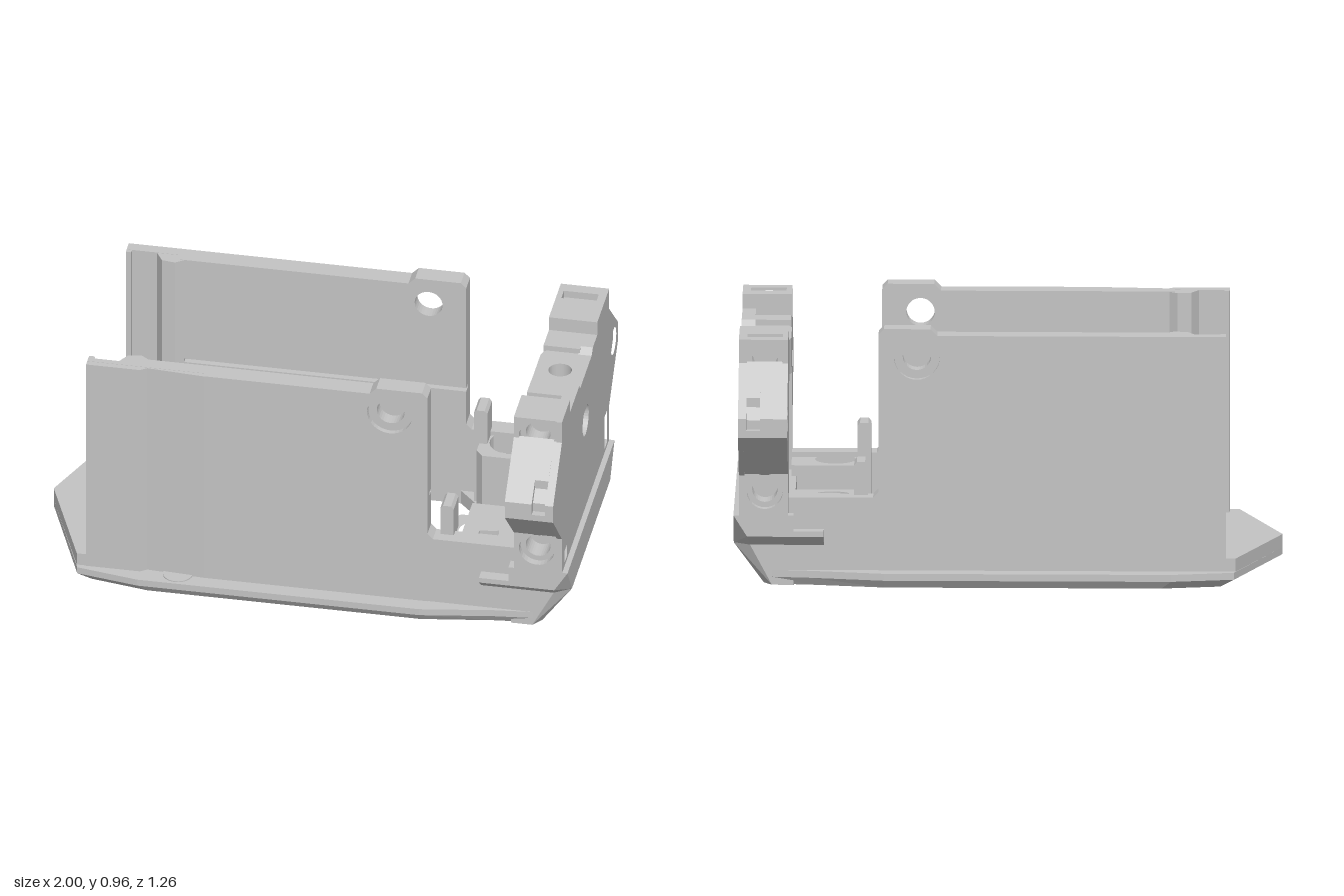
import * as THREE from 'three';
import { ConvexGeometry } from 'three/addons/geometries/ConvexGeometry.js';

const grey = new THREE.MeshStandardMaterial({ color: 0xc4c4c4 });
grey.name = 'light grey plastic';

// Circle as a list of points
const circle = (a, b, r, n = 32) => Array.from({ length: n }, (_, i) => {
  const t = (i / n) * Math.PI * 2;
  return [a + r * Math.cos(t), b + r * Math.sin(t)];
});
const rect = (a0, b0, a1, b1) => [[a0, b0], [a1, b0], [a1, b1], [a0, b1]];

function extrude(outline, holes, depth, sign) {
  const vec = (pts) => pts.map(([a, b]) => new THREE.Vector2(a * sign[0], b * sign[1]));
  const shape = new THREE.Shape(vec(outline));
  holes.forEach((h) => shape.holes.push(new THREE.Path(vec(h))));
  return new THREE.ExtrudeGeometry(shape, { depth, bevelEnabled: false });
}
// Outline in (x, z), raised from y0 to y1
const alongY = (o, y0, y1, holes = []) =>
  extrude(o, holes, y1 - y0, [1, -1]).rotateX(-Math.PI / 2).translate(0, y0, 0);
// Outline in (z, y), swept from x0 to x1
const alongX = (o, x0, x1, holes = []) =>
  extrude(o, holes, x1 - x0, [-1, 1]).rotateY(Math.PI / 2).translate(x0, 0, 0);
// Outline in (x, y), swept between two z values
const alongZ = (o, za, zb, holes = []) =>
  extrude(o, holes, Math.abs(zb - za), [1, 1]).translate(0, 0, Math.min(za, zb));

// Closed outline symmetric about z = 0, from its +z half
const mirrorZ = (half) => [...half, ...half.filter((p) => p[1] !== 0).reverse().map(([x, z]) => [x, -z])];
const bothSides = (pts) => pts.flatMap(([x, y, z]) =>
  [new THREE.Vector3(x, y, z), new THREE.Vector3(x, y, -z)]);

export function createModel() {
  const model = new THREE.Group();
  model.name = 'deviceCradle';
  const add = (name, geometry) => {
    const mesh = new THREE.Mesh(geometry, grey);
    mesh.name = name;
    model.add(mesh);
  };

  // Floor with opening, screw holes and fork slot
  const floorOutline = mirrorZ([[-1, 0], [-0.83, 0.43], [-0.6, 0.47], [0.45, 0.47], [0.72, 0.425], [0.86, 0.41]]);
  const opening = mirrorZ([[-0.42, 0], [-0.28, 0.34], [0.45, 0.34], [0.515, 0.27]]);
  const fork = mirrorZ([[0.58, 0.025], [0.64, 0.03], [0.68, 0.06], [0.78, 0.06]]);
  const floorHoles = [opening, fork, circle(0.64, 0.305, 0.04), circle(0.64, -0.305, 0.04)];
  const plateTop = alongY(floorOutline, 0.03, 0.056, floorHoles);
  const under = alongY(floorOutline, 0, 0.03, floorHoles);
  const up = under.attributes.position;
  for (let i = 0; i < up.count; i++) {
    if (up.getY(i) > 0.015) continue;
    const x = up.getX(i);
    const z = up.getZ(i);
    if (x < -0.55) up.setX(i, x * 0.94);
    if (Math.abs(z) > 0.4) up.setZ(i, z * 0.955);
  }
  under.computeVertexNormals();
  add('floorPlate', plateTop);
  add('floorBevel', under);
  for (const s of [1, -1]) add('forkTine', alongY(rect(0.69, s * 0.018, 0.79, s * 0.034), 0.005, 0.1));

  // Raised V-shaped lip
  add('floorLip', alongY([[-1, 0], [-0.835, 0.412], [-0.78, 0.412], [-0.78, 0.38], [-0.58, 0.36], [-0.71, 0],
    [-0.58, -0.36], [-0.78, -0.38], [-0.78, -0.412], [-0.835, -0.412]], 0.055, 0.105));

  // Rear floor between the screw bosses
  add('rearFloor', alongY(rect(0.52, -0.2, 0.8, 0.2), 0.05, 0.1, [fork]));

  // Sloped rear bumper
  add('bumperLower', new ConvexGeometry(bothSides([[0.78, 0, 0.41], [0.86, 0, 0.41], [0.89, 0, 0.37],
    [0.78, 0.15, 0.41], [0.94, 0.15, 0.41], [1, 0.15, 0.37]])));
  add('bumperUpper', new ConvexGeometry(bothSides([[0.78, 0.15, 0.41], [0.94, 0.15, 0.41], [1, 0.15, 0.37],
    [0.78, 0.19, 0.455], [0.95, 0.19, 0.455], [1, 0.27, 0.455], [0.78, 0.27, 0.455]])));

  for (const s of [1, -1]) {
    // Ramp from the lip down to the opening
    const ramp = alongY([[-0.71, 0], [-0.58, s * 0.35], [-0.285, s * 0.35], [-0.42, 0]], 0.04, 0.105);
    const rp = ramp.attributes.position;
    for (let i = 0; i < rp.count; i++) if (rp.getX(i) > -0.5 && rp.getY(i) > 0.1) rp.setY(i, 0.058);
    ramp.computeVertexNormals();
    add('floorRamp', ramp);

    // Side wall with raised tab and counterbored hole
    const top = [[0.47, 0.94], [0.45, 0.96], [0.28, 0.96], [0.255, 0.935]];
    const wallHole = [circle(0.33, 0.855, 0.052)];
    const x0 = s > 0 ? -0.36 : -0.8;
    add('sideWall', alongZ([[-0.8, 0.03], [0.47, 0.03], ...top, [-0.8, 0.935]], s * 0.37, s * 0.392, wallHole));
    add('sideWallSkin', alongZ([[x0, 0.03], [0.47, 0.03], ...top, [x0, 0.935]], s * 0.392, s * 0.412,
      [circle(0.33, 0.855, 0.084)]));
    // Inner lining in two courses with a groove between
    add('wallLiningLower', alongZ(rect(-0.6, 0.04, 0.47, 0.49), s * 0.34, s * 0.371));
    add('wallLiningUpper', alongZ([[-0.6, 0.505], [0.47, 0.505], ...top, [-0.6, 0.935]], s * 0.34, s * 0.371, wallHole));
    add('wallRib', alongY([[-0.69, s * 0.375], [-0.66, s * 0.325], [-0.61, s * 0.318], [-0.58, s * 0.34], [-0.58, s * 0.375]], 0.28, 0.934));
    add('wallEndLip', alongY(rect(-0.8, s * 0.355, -0.78, s * 0.38), 0.09, 0.934));

    // Low wall, retaining post and screw boss
    add('lowWall', alongZ([[0.46, 0.03], [0.8, 0.03], [0.8, 0.328], [0.49, 0.328], [0.46, 0.36]], s * 0.34, s * 0.41));
    add('retainingPost', alongZ([[0.51, 0.05], [0.56, 0.05], [0.56, 0.44], [0.55, 0.452], [0.52, 0.452], [0.51, 0.44]], s * 0.28, s * 0.37));
    add('screwBoss', alongY([[0.555, s * 0.2], [0.8, s * 0.2], [0.8, s * 0.39], [0.53, s * 0.39], [0.53, s * 0.23]],
      0.055, 0.31, [circle(0.64, s * 0.305, 0.075)]));
    add('screwSeat', alongY(circle(0.64, s * 0.305, 0.076), 0.05, 0.24, [circle(0.64, s * 0.305, 0.04)]));

    // Side catch ahead of the bumper, with sloped underside
    add('sideCatch', new ConvexGeometry([0.67, 0.82].flatMap((x) =>
      [[0.15, 0.36], [0.15, 0.41], [0.19, 0.455], [0.21, 0.455], [0.21, 0.36]].map(([y, z]) => new THREE.Vector3(x, y, s * z)))));

    // Bracket column with blind counterbored screw holes and a slot in its top
    const inner = s > 0 ? 0.305 : 0.225;
    const column = rect(0.8, 0.26, 0.96, 0.9);
    const bores = (r) => [circle(0.885, 0.85, r), circle(0.885, 0.36, r)];
    add('bracketColumn', alongZ(column, s * inner, s * 0.345));
    add('columnBore', alongZ(column, s * 0.345, s * 0.425, bores(0.046)));
    add('columnFace', alongZ(rect(0.8, 0.26, 0.96, 0.928), s * 0.425, s * 0.455, bores(0.066)));
    add('columnTop', alongY(rect(0.8, s * inner, 0.96, s * 0.425), 0.899, 0.928,
      [rect(0.82, s * 0.36, 0.95, s * 0.41)]));

    // Pointed wing with a slot in its edge
    const wingHole = [circle(s * 0.54, 0.645, 0.052)];
    const wing = [[0.45, 0.42], [0.63, 0.6], [0.63, 0.67], [0.45, 0.845]].map(([z, y]) => [s * z, y]);
    const notched = [[0.45, 0.42], [0.63, 0.6], [0.63, 0.625], [0.604, 0.625], [0.604, 0.66], [0.565, 0.7],
      [0.565, 0.735], [0.45, 0.845]].map(([z, y]) => [s * z, y]);
    add('wing', alongX(wing, 0.8, 0.9, wingHole));
    add('wingSlotLayer', alongX(notched, 0.9, 0.95, wingHole));
    add('wingBack', alongX(wing, 0.95, 0.961, wingHole));
  }

  // Shallow vertical channel on the front wall
  add('wallChannel', alongY([[-0.8, 0.39], [-0.8, 0.414], [-0.6, 0.414], [-0.575, 0.396], [-0.555, 0.398],
    [-0.36, 0.412], [-0.36, 0.39]], 0.03, 0.934));
  add('channelFoot', alongY(circle(-0.46, 0.405, 0.055, 24), 0.03, 0.06));

  // Rear plate with flat-topped centre hole, wing holes and strap slots
  const centreHole = [];
  for (let i = 0; i <= 28; i++) {
    const t = Math.PI * (0.3 - (1.6 * i) / 28);
    centreHole.push([0.06 * Math.cos(t), 0.645 + 0.06 * Math.sin(t)]);
  }
  const plate = [[0.46, 0.25], [0.46, 0.42], [0.63, 0.6], [0.63, 0.67], [0.46, 0.84], [0.46, 0.928], [0.305, 0.928],
    [0.305, 0.873], [0.12, 0.873], [0.11, 0.852], [-0.115, 0.852], [-0.14, 0.873], [-0.225, 0.873], [-0.225, 0.928],
    [-0.455, 0.928], [-0.455, 0.84], [-0.63, 0.67], [-0.63, 0.6], [-0.455, 0.42], [-0.455, 0.25]];
  add('rearPlate', alongX(plate, 0.96, 0.98, [centreHole, circle(0.54, 0.645, 0.052), circle(-0.54, 0.645, 0.052),
    rect(0.36, 0.285, 0.41, 0.425), rect(-0.41, 0.285, -0.36, 0.425)]));
  add('bracketWeb', alongX([[0.31, 0.26], [0.31, 0.873], [0.12, 0.873], [0.11, 0.852], [-0.115, 0.852],
    [-0.14, 0.873], [-0.23, 0.873], [-0.23, 0.26]], 0.93, 0.961, [centreHole]));
  add('webShoulder', alongX(rect(-0.23, 0.72, -0.12, 0.873), 0.8, 0.935));
  add('webShoulder', alongX(rect(0.12, 0.78, 0.2, 0.873), 0.8, 0.935));

  // Rounded centre boss with a vertical hole
  add('centreBoss', alongY(mirrorZ([[0.795, 0.09], [0.805, 0.115], [0.825, 0.125], [0.935, 0.125]]), 0.72, 0.852,
    [circle(0.885, 0, 0.043)]));

  return model;
}
